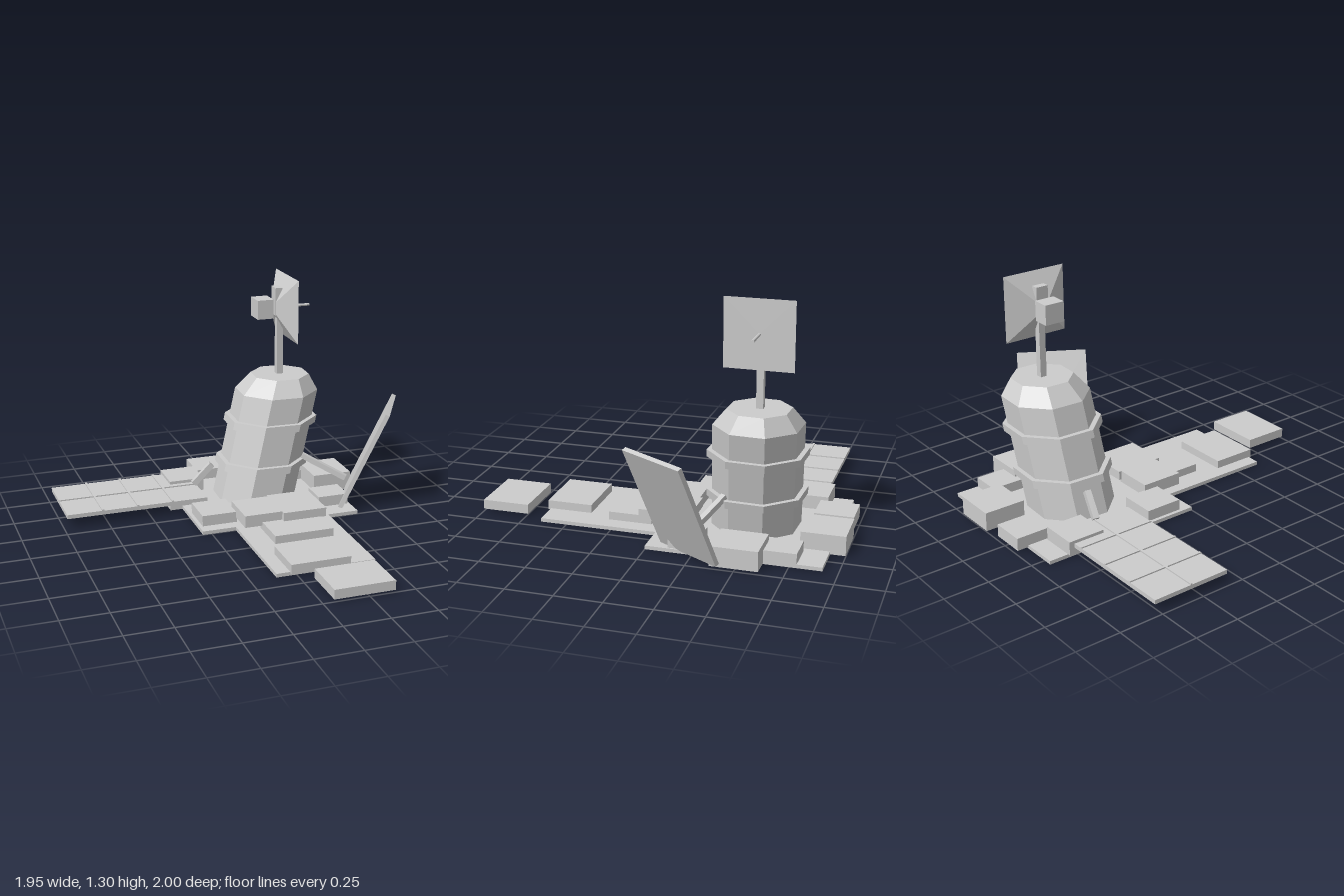
import * as THREE from 'three';

export function createModel() {
  const model = new THREE.Group();
  const grey = new THREE.MeshStandardMaterial({ color: 0xcccccc, flatShading: true });
  grey.name = 'light grey';

  const add = (name, geometry, parent = model) => {
    const mesh = new THREE.Mesh(geometry, grey);
    mesh.name = name;
    parent.add(mesh);
    return mesh;
  };
  // Box given by its limits on each axis
  const block = (name, x0, x1, y0, y1, z0, z1) => {
    const mesh = add(name, new THREE.BoxGeometry(x1 - x0, y1 - y0, z1 - z0));
    mesh.position.set((x0 + x1) / 2, (y0 + y1) / 2, (z0 + z1) / 2);
    return mesh;
  };
  // Square bar between two points
  const strut = (name, from, to, width) => {
    const a = new THREE.Vector3(...from), b = new THREE.Vector3(...to);
    const mesh = add(name, new THREE.BoxGeometry(width, width, a.distanceTo(b)));
    mesh.position.copy(a).lerp(b, 0.5);
    mesh.lookAt(b);
    return mesh;
  };
  // Eight-sided section with level ends, sheared along the leaning axis
  const section = (name, rBottom, rTop, y0, y1) => {
    const g = new THREE.CylinderGeometry(rTop, rBottom, y1 - y0, 8, 1, false, Math.PI / 9);
    g.translate(0, (y0 + y1) / 2, 0);
    const p = g.attributes.position;
    for (let i = 0; i < p.count; i++) {
      const y = p.getY(i);
      p.setXYZ(i, p.getX(i) + 0.155 + 0.25 * y, y, p.getZ(i) - 0.475 - 0.065 * y);
    }
    return add(name, g);
  };

  // T-shaped ground plate
  const plate = new THREE.Shape([
    [-0.3, 0.92], [-0.3, 0], [-0.11, 0], [-0.11, -0.645],
    [0.44, -0.645], [0.44, 0], [0.62, 0], [0.62, 0.92],
  ].map(([x, y]) => new THREE.Vector2(x, y)));
  const plateGeometry = new THREE.ExtrudeGeometry(plate, { depth: 0.02, bevelEnabled: false });
  plateGeometry.rotateX(-Math.PI / 2);
  add('groundPlate', plateGeometry);

  // Loose slabs around the body: x0, x1, y0, y1, z0, z1
  [
    [-0.10, 0.09, 0.01, 0.08, -0.985, -0.77],
    [0.18, 0.42, 0.005, 0.11, -1, -0.765],
    [-0.315, -0.11, 0.02, 0.095, -0.81, -0.60],
    [-0.37, -0.17, 0, 0.055, -0.60, -0.40],
    [0.45, 0.62, 0.015, 0.075, -0.79, -0.58],
    [0.50, 0.73, 0.005, 0.112, -0.62, -0.37],
    [-0.28, -0.08, 0.02, 0.08, -0.28, -0.07],
    [0.43, 0.61, 0.015, 0.08, -0.28, -0.12],
    [-0.085, 0.14, 0.045, 0.113, -0.155, 0.085],
    [0.13, 0.38, 0.062, 0.113, -0.17, 0.112],
  ].forEach((b) => block('groundSlab', ...b));

  // Three steps leading out to the front
  [[0.015, 0.35, 0.05, 0.29], [-0.035, 0.295, 0.41, 0.66], [0.06, 0.39, 0.74, 1]]
    .forEach(([x0, x1, z0, z1]) => block('frontStep', x0, x1, 0.013, 0.065, z0, z1));

  // Leaning capsule
  section('body', 0.24, 0.24, 0.02, 0.63);
  section('roof', 0.24, 0.17, 0.63, 0.72);
  section('lowerRing', 0.268, 0.268, 0.20, 0.242);
  section('upperRing', 0.268, 0.268, 0.44, 0.482);

  // Mast, receiver and square dish
  block('mast', 0.313, 0.35, 0.70, 1.1, -0.543, -0.506);
  block('dishMount', 0.298, 0.338, 1.07, 1.23, -0.56, -0.49);
  block('receiverBox', 0.183, 0.278, 1.06, 1.17, -0.583, -0.47);
  const dish = new THREE.CylinderGeometry(0.183 * Math.SQRT2, 0.037 * Math.SQRT2, 0.08, 4, 1, false, Math.PI / 4);
  dish.rotateZ(-Math.PI / 2);
  add('dish', dish).position.set(0.339, 1.113, -0.523);
  const rod = new THREE.CylinderGeometry(0.008, 0.008, 0.14, 8);
  rod.rotateZ(Math.PI / 2);
  add('antennaRod', rod).position.set(0.445, 1.113, -0.523);

  // Flat panel with a raised grid, 4 by 2 cells
  block('flatPanel', -0.98, -0.17, 0.055, 0.078, -0.78, -0.335);
  for (let i = 1; i < 4; i++) {
    const x = -0.98 + i * 0.2025;
    block('panelBar', x - 0.006, x + 0.006, 0.078, 0.085, -0.78, -0.335);
  }
  block('panelBar', -0.98, -0.17, 0.078, 0.085, -0.564, -0.552);

  // Leaning panel
  const leaningPanel = add('leaningPanel', new THREE.BoxGeometry(0.025, 0.625, 0.4));
  leaningPanel.position.set(0.752, 0.305, -0.18);
  leaningPanel.rotation.set(0, -Math.PI / 6, -0.42);

  // Panel arms
  strut('rightArm', [-0.185, 0.085, -0.555], [-0.08, 0.2, -0.535], 0.034);
  strut('leftArm', [0.42, 0.255, -0.365], [0.645, 0.13, -0.245], 0.03);

  return model;
}
